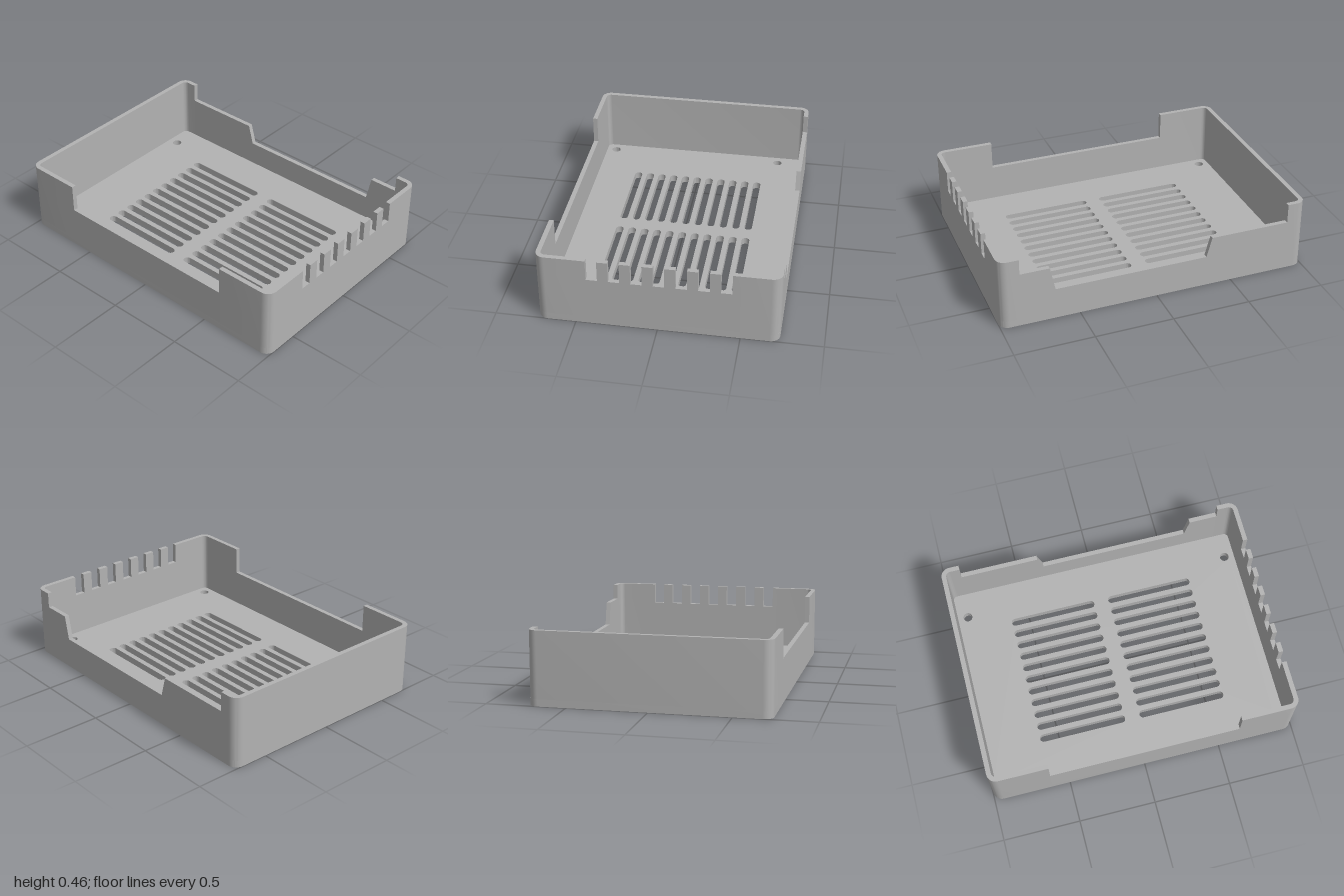
import * as THREE from 'three';
import { toCreasedNormals } from 'three/addons/utils/BufferGeometryUtils.js';

const W = 1, D = 0.735, H = 0.46;      // half width, half depth, height
const R = 0.06, T = 0.03, FLOOR = 0.045; // corner radius, wall and floor thickness

// rounded bar outline, also used for round holes (halfLength 0)
function barPath(cx, cy, halfLength, r) {
  const p = new THREE.Path();
  p.absarc(cx + halfLength, cy, r, -Math.PI / 2, Math.PI / 2);
  p.absarc(cx - halfLength, cy, r, Math.PI / 2, Math.PI * 1.5);
  p.closePath();
  return p;
}

function basePlate() {
  const s = new THREE.Shape();
  [[1, 1], [-1, 1], [-1, -1], [1, -1]].forEach(([sx, sy], i) => {
    s.absarc(sx * (W - R), sy * (D - R), R, i * Math.PI / 2, (i + 1) * Math.PI / 2);
  });
  s.closePath();
  // two columns of vent slots
  for (let i = 0; i < 11; i++) {
    const z = -0.422 + i * 0.0839;
    for (const x of [-0.337, 0.334]) s.holes.push(barPath(x, -z, 0.262, 0.025));
  }
  // screw holes
  for (const x of [-0.903, 0.903])
    for (const z of [-0.537, 0.64]) s.holes.push(barPath(x, -z, 0, 0.03));
  const g = new THREE.ExtrudeGeometry(s, { depth: FLOOR, bevelEnabled: false, curveSegments: 10 });
  g.rotateX(-Math.PI / 2);
  return toCreasedNormals(g, 0.6);
}

function wallRing() {
  // stations around the rim: outer point, inner point, top height
  const st = [];
  const corner = (sx, sz, quarter) => {
    for (let i = 0; i <= 10; i++) {
      const a = (quarter + i / 10) * Math.PI / 2, c = Math.cos(a), s = Math.sin(a);
      const x = sx * (W - R), z = sz * (D - R);
      st.push({ o: [x + R * c, z + R * s], i: [x + (R - T) * c, z + (R - T) * s], h: H });
    }
  };
  const alongX = (sz, list) => list.forEach(([x, h]) =>
    st.push({ o: [x, sz * D], i: [x, sz * (D - T)], h }));

  corner(1, 1, 0);
  // front opening
  alongX(1, [[0.62, H], [0.62, 0.28], [-0.62, 0.28], [-0.62, H]]);
  corner(-1, 1, 1);
  corner(-1, -1, 2);
  // stepped back opening with sloped sides
  alongX(-1, [[-0.877, H], [-0.877, 0.335], [-0.364, 0.335], [-0.328, 0.205],
    [0.652, 0.205], [0.684, 0.36], [0.87, 0.36], [0.87, H]]);
  corner(1, -1, 3);
  // comb of seven notches on one side
  for (let k = 0; k < 7; k++) {
    const z = -0.448 + k * 0.1343;
    for (const [dz, h] of [[0, H], [0, 0.325], [0.069, 0.325], [0.069, H]])
      st.push({ o: [W, z + dz], i: [W - T, z + dz], h });
  }

  const pos = [];
  const quad = (a, b, c, d) => pos.push(...a, ...b, ...c, ...a, ...c, ...d);
  const at = (p, y) => [p[0], y, p[1]];
  st.forEach((A, n) => {
    const B = st[(n + 1) % st.length];
    if (Math.hypot(A.o[0] - B.o[0], A.o[1] - B.o[1]) > 1e-6) {
      quad(at(A.o, FLOOR), at(A.o, A.h), at(B.o, B.h), at(B.o, FLOOR));
      quad(at(B.i, FLOOR), at(B.i, B.h), at(A.i, A.h), at(A.i, FLOOR));
    }
    // top edge, or the end face of a step
    quad(at(A.i, A.h), at(B.i, B.h), at(B.o, B.h), at(A.o, A.h));
  });
  const g = new THREE.BufferGeometry();
  g.setAttribute('position', new THREE.Float32BufferAttribute(pos, 3));
  return toCreasedNormals(g, 0.6);
}

export function createModel() {
  const grey = new THREE.MeshStandardMaterial({ color: 0xb2b2b2 });
  grey.name = 'grey plastic';
  const group = new THREE.Group();
  group.name = 'ventedCaseTray';
  const add = (name, geometry) => {
    const m = new THREE.Mesh(geometry, grey);
    m.name = name;
    group.add(m);
  };
  add('ventedFloor', basePlate());
  add('notchedWalls', wallRing());
  return group;
}
